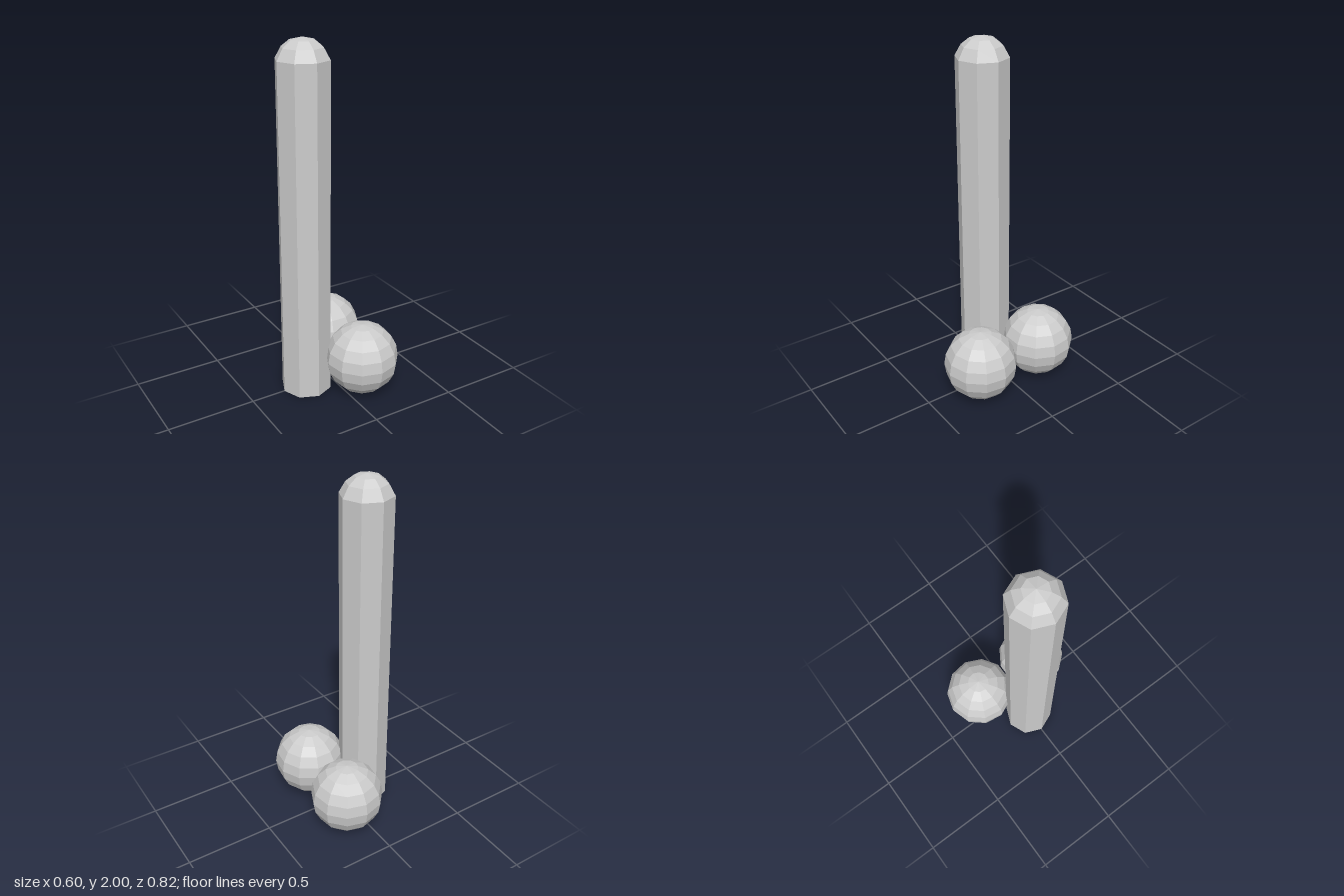
import * as THREE from 'three';

const material = new THREE.MeshStandardMaterial({ color: 0xcccccc, flatShading: true });

function addPart(group, name, geometry, x, y, z) {
  const mesh = new THREE.Mesh(geometry, material);
  mesh.name = name;
  mesh.position.set(x, y, z);
  group.add(mesh);
  return mesh;
}

export function createModel() {
  const group = new THREE.Group();
  group.name = 'columnWithSpheres';

  // Eight-sided column with a flat base and a domed top
  const profile = [
    [0, 0], [0.145, 0], [0.145, 1.89], [0.111, 1.95], [0.067, 1.985], [0, 2],
  ].map(([r, y]) => new THREE.Vector2(r, y));
  addPart(group, 'column', new THREE.LatheGeometry(profile, 8), -0.155, 0, 0.002);

  // Pair of eleven-sided spheres, flat sides facing each other
  for (const [name, side] of [['frontSphere', 1], ['backSphere', -1]]) {
    const sphere = new THREE.SphereGeometry(0.207, 11, 10);
    sphere.rotateY(side * Math.PI / 2);
    addPart(group, name, sphere, 0.095, 0.212, side * 0.204);
  }

  return group;
}
